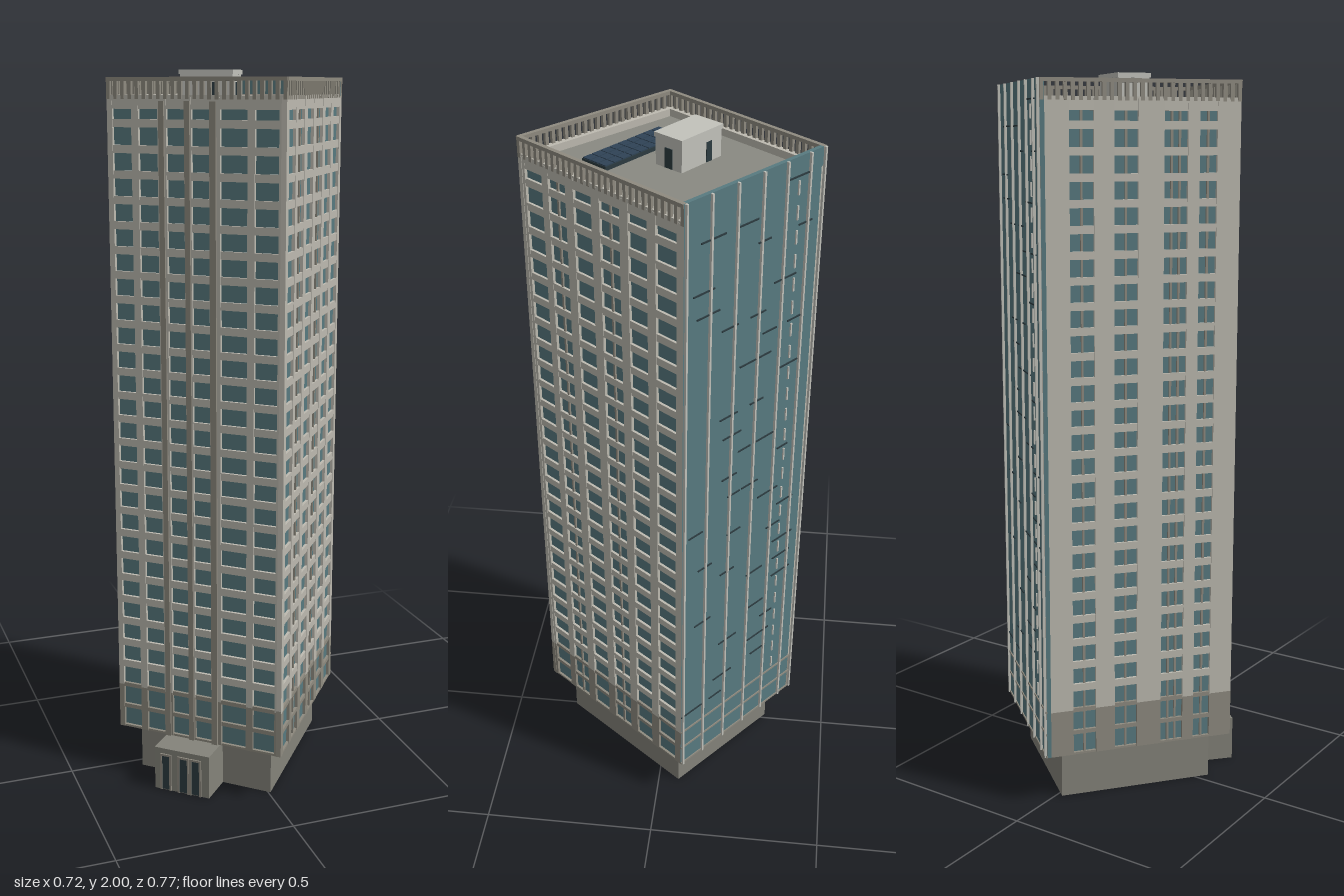
import * as THREE from 'three';

const mat = (name, color) => new THREE.MeshStandardMaterial({ name, color });

export function createModel() {
  const stone = mat('pale stone', 0xbdbab0);
  const taupe = mat('taupe', 0x8f8b80);
  const concrete = mat('concrete', 0x84837a);
  const roofGrey = mat('roof grey', 0x8a8a82);
  const glass = mat('teal glass', 0x587a80);
  const dark = mat('dark trim', 0x2c3b40);
  const solar = mat('solar blue', 0x2f4356);
  const pale = mat('light panel', 0xc2c2bb);

  const model = new THREE.Group();
  // footprint corners, as x and z
  const A = [-0.02, -0.385], B = [0.36, -0.075], C = [0.008, 0.382], D = [-0.36, 0.04];
  const Y0 = 0.145, YTOP = 1.93, FLOORS = 27, PITCH = (YTOP - Y0) / FLOORS;
  const BAND = Y0 + 2 * PITCH;

  const outline = (scale, Type = THREE.Shape) =>
    new Type([D, C, B, A].map(([x, z]) => new THREE.Vector2(x * scale, -z * scale)));

  // upright prism on the scaled footprint, optionally hollow
  function prism(name, scale, y0, y1, material, hole) {
    const shape = outline(scale);
    if (hole) shape.holes.push(outline(hole, THREE.Path));
    const geo = new THREE.ExtrudeGeometry(shape, { depth: y1 - y0, bevelEnabled: false });
    geo.rotateX(-Math.PI / 2).translate(0, y0, 0);
    const mesh = new THREE.Mesh(geo, material);
    mesh.name = name;
    model.add(mesh);
  }

  // group whose x runs from P to Q and whose z points outward
  function frame(name, P, Q) {
    const g = new THREE.Group();
    g.name = name;
    g.position.set(P[0], 0, P[1]);
    g.rotation.y = Math.atan2(P[1] - Q[1], Q[0] - P[0]);
    g.userData.length = Math.hypot(Q[0] - P[0], Q[1] - P[1]);
    model.add(g);
    return g;
  }

  // box given by its limits in the frame
  function box(g, name, x0, x1, y0, y1, z0, z1, material) {
    const mesh = new THREE.Mesh(new THREE.BoxGeometry(x1 - x0, y1 - y0, z1 - z0), material);
    mesh.position.set((x0 + x1) / 2, (y0 + y1) / 2, (z0 + z1) / 2);
    mesh.name = name;
    g.add(mesh);
    return mesh;
  }

  // base, glazed core, roof deck and parapet
  prism('base', 0.815, 0, Y0, concrete);
  prism('glassCore', 0.965, Y0, 1.9, glass);
  prism('soffit', 0.985, Y0 - 0.002, Y0 + 0.004, concrete);
  prism('roofDeck', 0.96, 1.9, 1.915, roofGrey);
  prism('parapet', 0.998, 1.9, 1.935, stone, 0.93);

  // masonry grid around the windows; windows are [start, end, panes] along the wall
  function gridWall(name, P, Q, windows) {
    const g = frame(name, P, Q), L = g.userData.length;
    let start = 0;
    for (const [a, b] of [...windows, [1, 1]]) {
      box(g, 'lowerPier', start * L, a * L, Y0, BAND, -0.014, 0, taupe);
      box(g, 'pier', start * L, a * L, BAND, YTOP, -0.014, 0, stone);
      start = b;
    }
    for (const [a, b, panes = 1] of windows) {
      for (let i = 1; i < panes; i++) {
        const x = (a + (b - a) * i / panes) * L;
        box(g, 'mullion', x - 0.003, x + 0.003, Y0, YTOP, -0.014, -0.003, taupe);
      }
    }
    for (let i = 0; i <= FLOORS; i++) {
      const y = Y0 + i * PITCH, h = i < 3 ? 0.006 : 0.0105;
      box(g, 'spandrel', 0, L, Math.max(Y0, y - h), Math.min(YTOP, y + h), -0.014, -0.001, i < 3 ? taupe : stone);
    }
    // rooftop railing
    const slats = Math.round(L / 0.021);
    for (let i = 0; i <= slats; i++) {
      const x = 0.005 + (L - 0.01) * i / slats;
      box(g, 'railSlat', x - 0.005, x + 0.005, 1.925, 1.975, -0.008, 0.001, taupe);
    }
    box(g, 'topRail', 0, L, 1.97, 1.98, -0.01, 0.002, taupe);
    return g;
  }

  const entranceWall = gridWall('entranceWall', D, C,
    [[0.03, 0.14], [0.18, 0.29], [0.34, 0.44], [0.48, 0.58], [0.64, 0.79], [0.83, 0.96]]);
  for (const [a, b] of [[0.30, 0.33], [0.445, 0.475], [0.585, 0.62]]) {
    const L = entranceWall.userData.length;
    box(entranceWall, 'taupePilaster', a * L, b * L, Y0, YTOP - 0.01, -0.01, 0.005, taupe);
  }
  gridWall('wideWall', C, B,
    [[0.04, 0.15], [0.19, 0.30, 2], [0.35, 0.46], [0.51, 0.63, 2], [0.68, 0.79], [0.84, 0.96]]);
  gridWall('rearWall', A, D, [[0.14, 0.26, 2], [0.36, 0.48, 2], [0.61, 0.73, 3], [0.79, 0.88, 2]]);

  // curtain wall with thin fins and scattered dark joints
  const curtain = frame('curtainWall', B, A), CL = curtain.userData.length;
  box(curtain, 'glassSheet', 0, CL, Y0, 1.98, -0.012, 0, glass);
  for (const t of [0.012, 0.18, 0.36, 0.54, 0.71, 0.88, 0.988]) {
    box(curtain, 'fin', t * CL - 0.003, t * CL + 0.003, Y0, 1.98, -0.002, 0.007, pale);
  }
  let seed = 7;
  const rand = () => (seed = (seed * 16807) % 2147483647) / 2147483647;
  for (let i = 0; i <= FLOORS; i++) {
    const y = Y0 + i * PITCH;
    if (i < 3) {
      box(curtain, 'lowerBand', 0, CL, y, y + 0.006, -0.002, 0.003, taupe);
      continue;
    }
    box(curtain, 'dashedFin', 0.797 * CL, 0.807 * CL, y - 0.05, y - 0.012, -0.002, 0.004, pale);
    for (let k = 0; k < 2; k++) {
      const x = rand() * 0.82 * CL;
      box(curtain, 'darkJoint', x, x + (0.08 + rand() * 0.1) * CL, y - 0.002, y + 0.002, -0.002, 0.003, dark);
    }
  }

  // entrance annex, open underneath
  const annex = frame('entranceAnnex', [-0.295, 0.172], [-0.17, 0.285]), AL = annex.userData.length;
  const shell = box(annex, 'annexShell', 0, AL, 0, 0.128, -0.1, 0, concrete);
  const index = Array.from(shell.geometry.index.array);
  index.splice(18, 6);
  shell.geometry.setIndex(index);
  shell.geometry.clearGroups();
  for (const [a, b] of [[0.12, 0.29], [0.44, 0.62], [0.66, 0.84]]) {
    box(annex, 'door', a * AL, b * AL, 0.002, 0.108, -0.001, 0.001, dark);
    for (const t of [a, b]) {
      box(annex, 'doorPost', t * AL - 0.003, t * AL + 0.003, 0, 0.112, -0.004, 0.004, taupe);
    }
    box(annex, 'doorHead', a * AL, b * AL, 0.106, 0.112, -0.004, 0.004, taupe);
  }

  // rooftop plant house
  const house = frame('plantHouse', [-0.135, -0.05], [-0.01, 0.04]), HL = house.userData.length;
  box(house, 'houseWalls', 0.003, HL - 0.003, 1.91, 1.99, -0.09, -0.003, pale);
  box(house, 'houseRoof', 0, HL, 1.988, 2, -0.093, 0, pale);
  box(house, 'houseDoor', 0.09, 0.115, 1.916, 1.968, -0.004, -0.001, dark);
  box(house, 'sideDoor', HL - 0.004, HL - 0.001, 1.916, 1.968, -0.06, -0.035, dark);
  box(house, 'rearDoor', 0.04, 0.06, 1.916, 1.968, -0.092, -0.089, dark);

  // solar array
  const array = frame('solarArray', [-0.225, 0.055], [0, 0.22]), SL = array.userData.length;
  const COLS = 9, ROWS = 3, W = 0.083;
  box(array, 'arrayFrame', 0, SL, 1.914, 1.926, -W, 0, dark);
  for (let c = 0; c < COLS; c++) {
    for (let r = 0; r < ROWS; r++) {
      const x = SL * c / COLS, z = -W * r / ROWS;
      box(array, 'solarCell', x + 0.0015, x + SL / COLS - 0.0015, 1.925, 1.929,
        z - W / ROWS + 0.0015, z - 0.0015, solar);
    }
  }
  return model;
}
